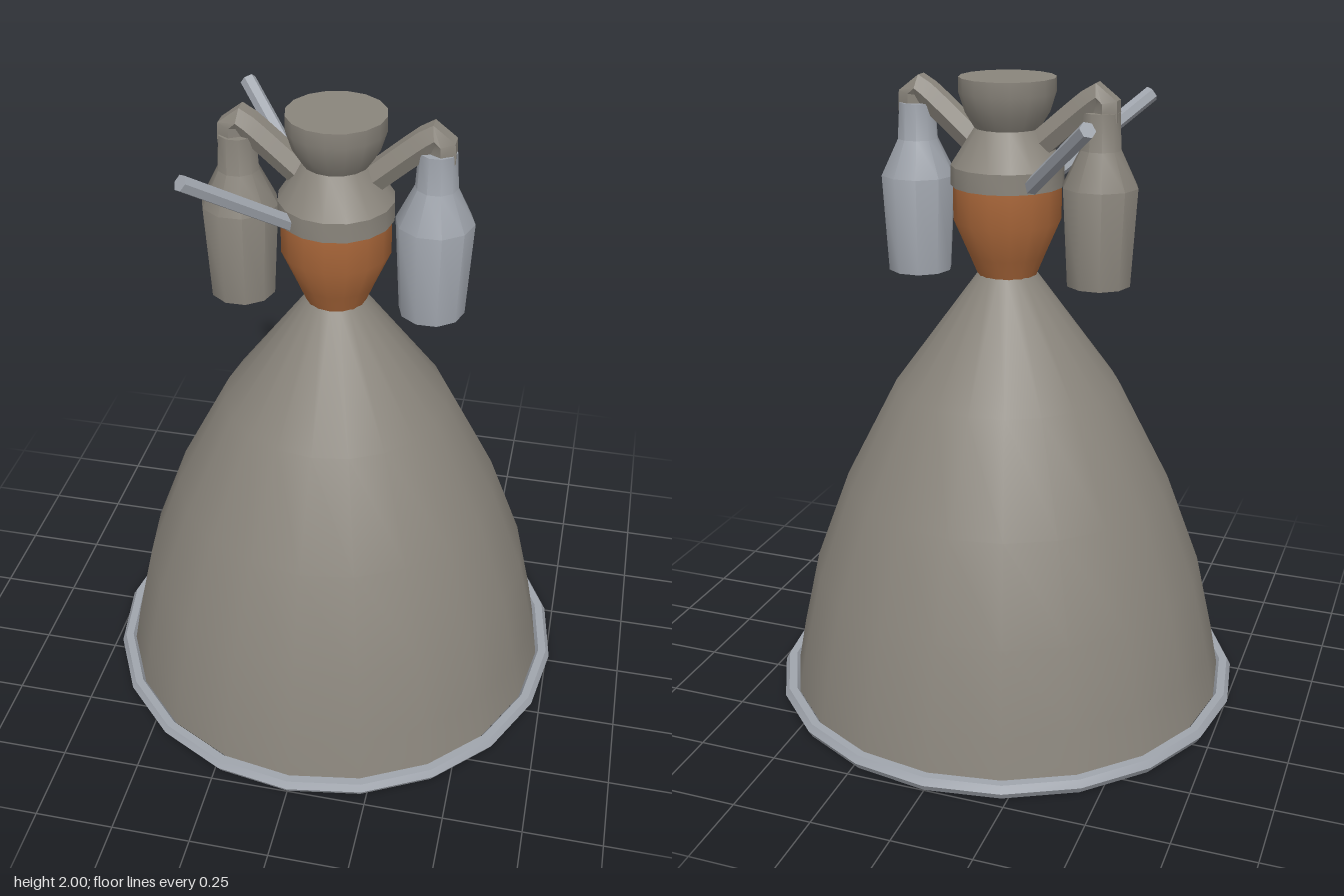
import * as THREE from 'three';
import { toCreasedNormals } from 'three/addons/utils/BufferGeometryUtils.js';

export function createModel() {
  const model = new THREE.Group();
  model.name = 'rocketEngine';

  const mat = (name, color, side = THREE.FrontSide) => {
    const m = new THREE.MeshStandardMaterial({ color, side });
    m.name = name;
    return m;
  };
  const warmGrey = mat('warmGrey', 0x8a857c, THREE.DoubleSide);
  const coolGrey = mat('coolGrey', 0xa0a5ad);
  const copper = mat('copper', 0xad693b);

  const add = (name, geometry, material, crease = 0.7) => {
    const mesh = new THREE.Mesh(toCreasedNormals(geometry, crease), material);
    mesh.name = name;
    model.add(mesh);
    return mesh;
  };
  // Profiles run from bottom to top as [radius, height]
  const lathe = (profile, sides) =>
    new THREE.LatheGeometry(profile.map(([r, y]) => new THREE.Vector2(r, y)), sides);

  // Open bell, with its inside visible from below
  add('nozzleBell', lathe([
    [0.713, 0.03], [0.687, 0.17], [0.63, 0.425], [0.52, 0.72], [0.354, 1.045], [0.092, 1.402],
  ], 20), warmGrey);

  // Hexagonal-section ring around the mouth
  const rim = new THREE.TorusGeometry(0.735, 0.0255, 6, 20);
  rim.rotateX(-Math.PI / 2);
  rim.translate(0, 0.022, 0);
  add('nozzleRim', rim, coolGrey, 0.5);

  // Copper combustion chamber
  add('combustionChamber', lathe([
    [0.093, 1.4], [0.118, 1.46], [0.166, 1.57], [0.166, 1.69],
  ], 16), copper);

  // Flange, cone and flared inlet cup
  add('injectorHead', lathe([
    [0, 1.677], [0.173, 1.677], [0.173, 1.738], [0.1, 1.85],
    [0.128, 1.895], [0.147, 1.955], [0.147, 2], [0, 2],
  ], 16), warmGrey, 0.5);

  // Turbopumps and their elbow pipes, one on each side
  for (const s of [-1, 1]) {
    const label = s > 0 ? 'left' : 'right';
    const pump = lathe([
      [0, 1.373], [0.1, 1.39], [0.117, 1.69], [0.063, 1.8], [0.056, 1.91], [0, 1.91],
    ], 10);
    pump.rotateY(Math.PI / 2);
    pump.translate(s * 0.292, 0, 0);
    add(label + 'Pump', pump, s > 0 ? coolGrey : warmGrey);

    const path = new THREE.CurvePath();
    const points = [[0.08, 1.785], [0.26, 1.94], [0.285, 1.957], [0.3, 1.95], [0.306, 1.88]]
      .map(([x, y]) => new THREE.Vector3(s * x, y, 0));
    const curve = new THREE.CatmullRomCurve3(points, false, 'centripetal');
    add(label + 'Pipe', new THREE.TubeGeometry(curve, 12, 0.045, 6), warmGrey, 0.5);
  }

  // Two slanted hexagonal struts
  for (const s of [-1, 1]) {
    const from = new THREE.Vector3(-0.11, 1.695, s * 0.11);
    const to = new THREE.Vector3(-0.353, 1.918, s * 0.353);
    const dir = to.clone().sub(from);
    const strut = add(s > 0 ? 'frontStrut' : 'backStrut',
      new THREE.CylinderGeometry(0.025, 0.025, dir.length(), 6), coolGrey, 0.5);
    strut.position.copy(from).add(to).multiplyScalar(0.5);
    strut.quaternion.setFromUnitVectors(new THREE.Vector3(0, 1, 0), dir.normalize());
  }

  return model;
}
